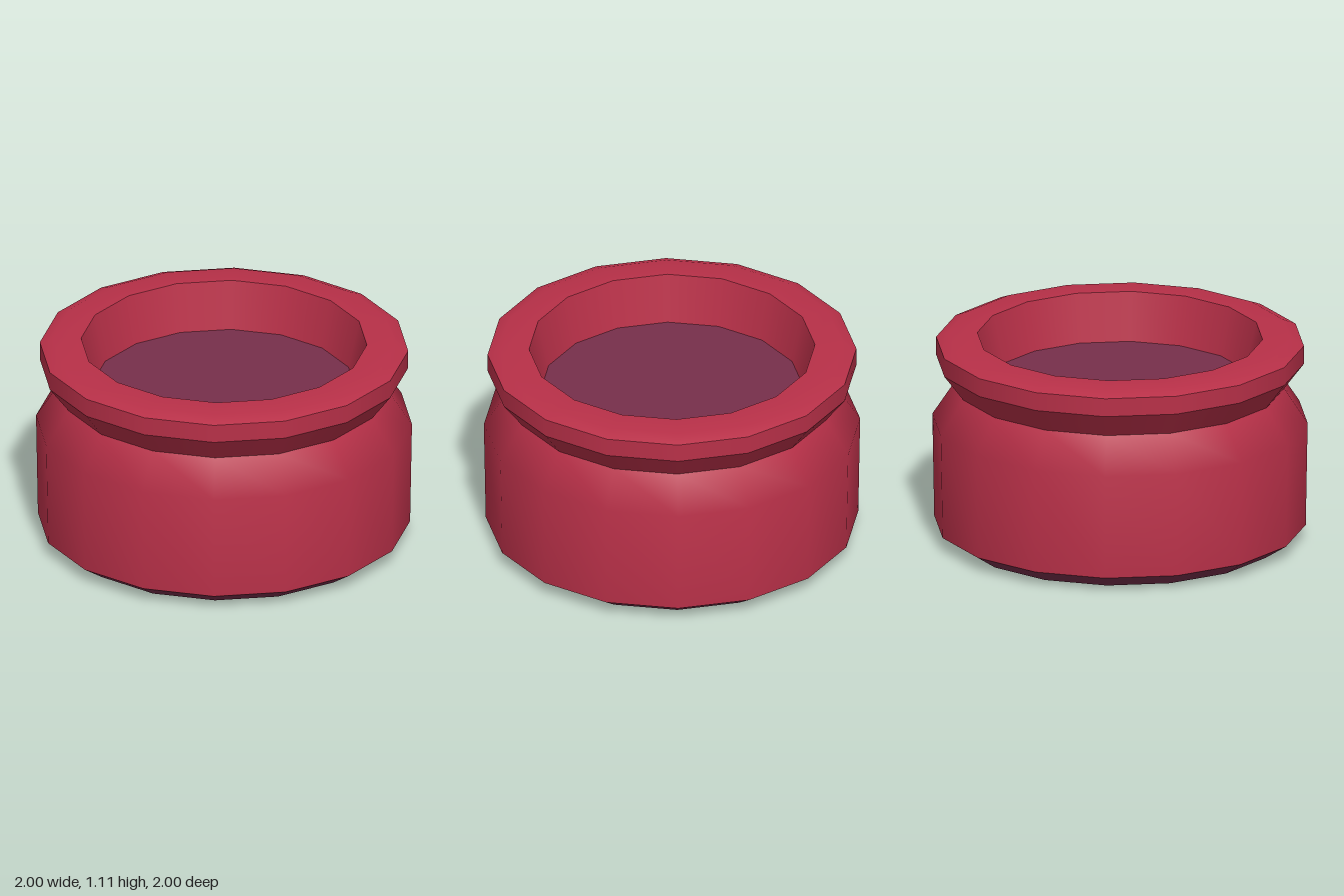
import * as THREE from 'three';

const SIDES = 16;

export function createModel() {
  const model = new THREE.Group();
  model.name = 'roundPot';

  const red = new THREE.MeshStandardMaterial({ color: 0xb83048 });
  red.name = 'red';
  const plum = new THREE.MeshStandardMaterial({ color: 0x772f4b });
  plum.name = 'plum';

  // Each band is smooth inside and meets its neighbours at a sharp edge
  const band = (name, material, profile) => {
    const points = profile.map(([r, y]) => new THREE.Vector2(r, y));
    const mesh = new THREE.Mesh(new THREE.LatheGeometry(points, SIDES), material);
    mesh.name = name;
    model.add(mesh);
  };

  // Base
  band('underside', plum, [[0, 0], [0.87, 0]]);
  band('baseBevel', plum, [[0.87, 0], [0.99, 0.08]]);

  // Body with a rounded shoulder
  band('body', red, [[0.99, 0.08], [1, 0.65], [0.875, 0.84]]);

  // Flared neck and rim
  band('neck', red, [[0.875, 0.84], [0.98, 0.98]]);
  band('rimEdge', red, [[0.98, 0.98], [0.98, 1.08]]);
  band('rimTop', red, [[0.98, 1.08], [0.91, 1.11], [0.76, 1.11]]);

  // Recess
  band('innerWall', red, [[0.76, 1.11], [0.7, 0.85]]);
  band('recessFloor', plum, [[0.7, 0.85], [0, 0.85]]);

  return model;
}
